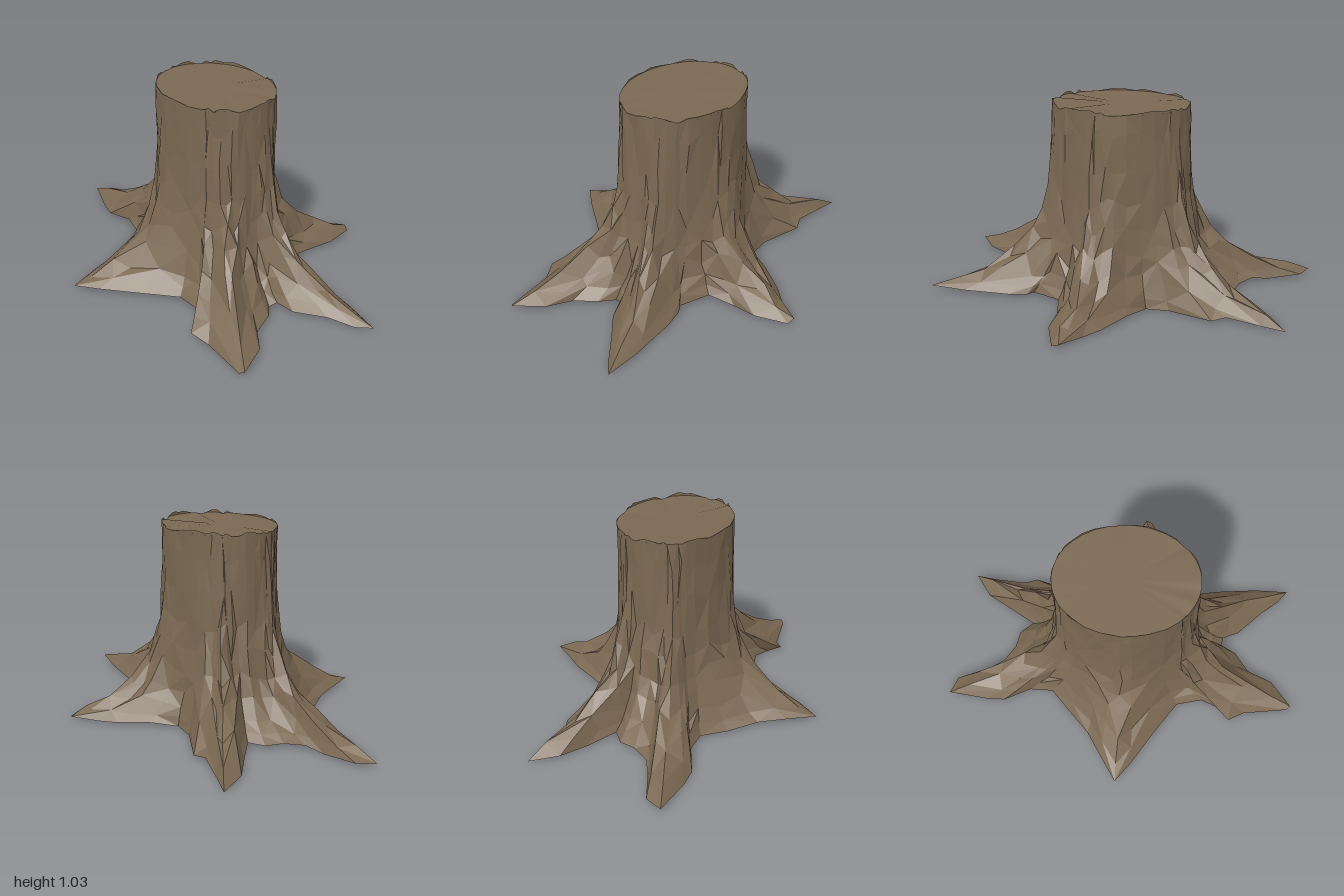
import * as THREE from 'three';

// Ground outline [x, z] of the spreading roots, counter-clockwise from above
const OUTLINE = [
  [0.34, 0.45], [0.31, 0.42], [0.38, 0.26], [0.52, 0.22], [0.65, 0.22], [0.81, 0.15], [0.82, 0.11], // left root
  [0.69, 0.03], [0.61, -0.04], [0.46, -0.13], [0.33, -0.2], [0.32, -0.32],
  [0.39, -0.55], [0.36, -0.62], [0.38, -0.8], [0.40, -0.92], [0.27, -0.83], [0.19, -0.69],          // back left root
  [0.1, -0.55], [0.04, -0.62], [-0.05, -0.64], [-0.14, -0.7], [-0.19, -0.79],
  [-0.26, -0.96], [-0.35, -1], [-0.375, -0.78], [-0.375, -0.68], [-0.31, -0.53], [-0.31, -0.4],     // back right root
  [-0.42, -0.3], [-0.55, -0.18], [-0.68, -0.1], [-0.82, -0.01], [-0.71, 0.08], [-0.52, 0.21],       // right root
  [-0.36, 0.33], [-0.33, 0.47], [-0.37, 0.59], [-0.44, 0.63], [-0.39, 0.72], [-0.36, 0.97], [-0.34, 0.99],
  [-0.2, 0.88], [-0.14, 0.75], [-0.03, 0.67], [0.02, 0.59], [0.06, 0.6],                           // front roots
  [0.1, 0.69], [0.22, 0.82], [0.31, 0.93], [0.375, 0.99], [0.38, 0.8], [0.36, 0.55],
];
// Levels from the cut down to the ground: [height, spread from trunk ellipse towards the outline]
const LEVELS = [[1.02, 0], [0.9, 0.005], [0.72, 0.025], [0.55, 0.055], [0.42, 0.11],
  [0.31, 0.2], [0.21, 0.36], [0.12, 0.58], [0.06, 0.8], [0.015, 1]];
const RX = 0.292, RZ = 0.365, CZ = 0.015;

function seeded(seed) {
  return () => {
    seed = (seed * 16807) % 2147483647;
    return (seed / 2147483647) * 2 - 1;
  };
}

// Angle round the trunk belonging to each outline point, smoothed over its neighbours
function trunkAngles() {
  const n = OUTLINE.length, raw = [];
  OUTLINE.forEach(([x, z], i) => {
    let a = Math.atan2(-(z - CZ) / RZ, x / RX);
    if (i > 0) while (a < raw[i - 1] - Math.PI) a += Math.PI * 2;
    raw.push(a);
  });
  const at = (i) => raw[(i + n) % n] + Math.PI * 2 * Math.floor(i / n);
  return raw.map((_, i) => (at(i - 1) + at(i) + at(i + 1)) / 3);
}

function geometryFrom(positions, index) {
  const g = new THREE.BufferGeometry();
  g.setAttribute('position', new THREE.Float32BufferAttribute(positions, 3));
  g.setIndex(index);
  g.computeVertexNormals();
  return g;
}

export function createModel() {
  const group = new THREE.Group();
  group.name = 'treeStump';
  const color = 0x7a6852;
  const bark = new THREE.MeshStandardMaterial({ color, flatShading: true, side: THREE.DoubleSide });
  const wood = new THREE.MeshStandardMaterial({ color, side: THREE.DoubleSide });

  const rand = seeded(4711), angles = trunkAngles(), n = OUTLINE.length;
  const pos = [], index = [];

  // Bark: loops that blend from the trunk ellipse into the root outline
  LEVELS.forEach(([height, spread], row) => {
    const rim = row === 0, ground = row === LEVELS.length - 1;
    OUTLINE.forEach(([ox, oz], i) => {
      const a = angles[i];
      const bump = rim || ground ? 1 : 1 + rand() * 0.022;
      const turn = rim || ground ? 0 : rand() * 0.03;
      const tx = Math.cos(a + turn) * RX, tz = CZ - Math.sin(a + turn) * RZ;
      const lift = rim ? 0.015 : ground ? 0.012 : Math.min(0.04, height * 0.2);
      pos.push(
        THREE.MathUtils.lerp(tx, ox, spread) * bump,
        height + rand() * lift,
        THREE.MathUtils.lerp(tz, oz, spread) * bump,
      );
    });
  });
  for (let r = 0; r < LEVELS.length - 1; r++) {
    for (let i = 0; i < n; i++) {
      const j = (i + 1) % n;
      const a = r * n + i, b = a + n, c = (r + 1) * n + j, d = r * n + j;
      // Alternate the diagonals for an irregular chipped look
      if ((i + r) % 2) index.push(a, b, c, a, c, d);
      else index.push(a, b, d, b, c, d);
    }
  }
  const barkMesh = new THREE.Mesh(geometryFrom(pos, index), bark);
  barkMesh.name = 'barkAndRoots';
  group.add(barkMesh);

  // Cut face, sitting just inside the ragged rim
  const cut = [0, 1.012, CZ], cutIndex = [];
  for (let i = 0; i < n; i++) {
    cut.push(pos[i * 3], Math.min(pos[i * 3 + 1], 1.015), pos[i * 3 + 2]);
    cutIndex.push(0, i + 1, ((i + 1) % n) + 1);
  }
  const cutMesh = new THREE.Mesh(geometryFrom(cut, cutIndex), wood);
  cutMesh.name = 'cutFace';
  group.add(cutMesh);

  return group;
}
